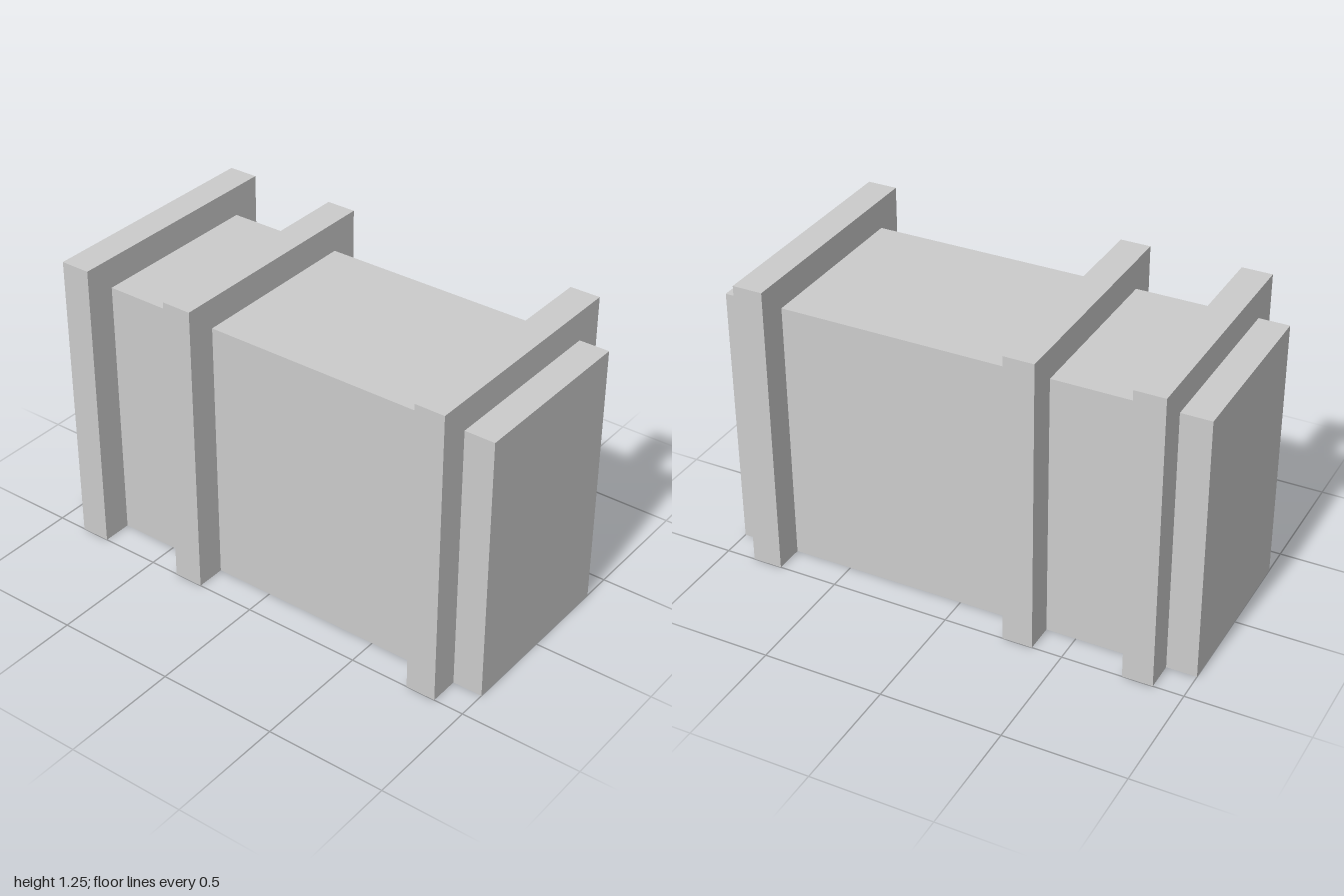
import * as THREE from 'three';

const LENGTH = 2, HEIGHT = 1.125, DEPTH = 0.75; // main block
const BAND = 0.125; // band width and thickness

// Arch-shaped band that wraps the sides and top of the block, open at the base
function bandGeometry() {
  const inner = DEPTH / 2, outer = inner + BAND, top = HEIGHT + BAND;
  const shape = new THREE.Shape([
    [-outer, 0], [-inner, 0], [-inner, HEIGHT], [inner, HEIGHT],
    [inner, 0], [outer, 0], [outer, top], [-outer, top],
  ].map(([x, y]) => new THREE.Vector2(x, y)));
  return new THREE.ExtrudeGeometry(shape, { depth: BAND, bevelEnabled: false })
    .translate(0, 0, -BAND / 2)
    .rotateY(Math.PI / 2);
}

export function createModel() {
  const model = new THREE.Group();
  model.name = 'bandedBlock';
  const grey = new THREE.MeshStandardMaterial({ color: 0xcccccc, flatShading: true });

  // Main block
  const body = new THREE.Mesh(new THREE.BoxGeometry(LENGTH, HEIGHT, DEPTH), grey);
  body.name = 'body';
  body.position.y = HEIGHT / 2;
  model.add(body);

  // Raised bands along the length
  const geometry = bandGeometry();
  const bands = { rightBand: -0.8125, middleBand: -0.3125, leftBand: 0.8125 };
  for (const [name, x] of Object.entries(bands)) {
    const band = new THREE.Mesh(geometry, grey);
    band.name = name;
    band.position.x = x;
    model.add(band);
  }
  return model;
}
